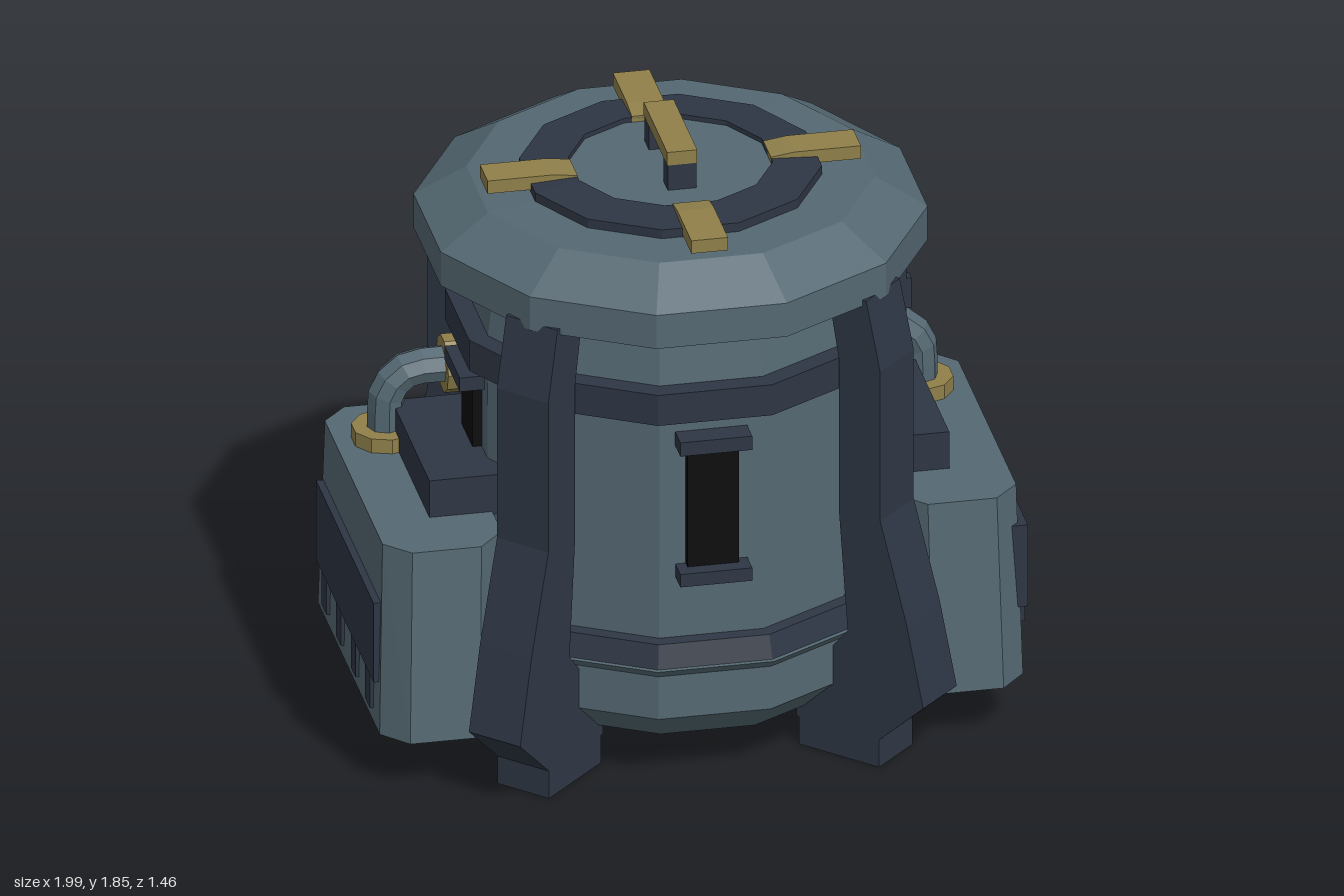
import * as THREE from 'three';

const mat = (name, color) => Object.assign(new THREE.MeshStandardMaterial({ color }), { name });

// faceted normals for every part
function flat(geo) {
  const g = geo.index ? geo.toNonIndexed() : geo;
  g.computeVertexNormals();
  return g;
}

export function createModel() {
  const teal = mat('slate teal', 0x546872);
  const dark = mat('dark blue grey', 0x2e3644);
  const gold = mat('dull brass', 0x8f7f4a);
  const black = mat('black', 0x0c0c0c);

  const model = new THREE.Group();
  model.name = 'canister';
  model.position.x = -0.02;

  function add(parent, name, geo, material, x = 0, y = 0, z = 0) {
    const m = new THREE.Mesh(flat(geo), material);
    m.name = name;
    m.position.set(x, y, z);
    parent.add(m);
    return m;
  }
  function group(name, angle = 0) {
    const g = new THREE.Group();
    g.name = name;
    g.rotation.y = angle;
    model.add(g);
    return g;
  }
  // box given by its limits
  function block(parent, name, material, x0, x1, y0, y1, z0, z1) {
    return add(parent, name, new THREE.BoxGeometry(Math.abs(x1 - x0), y1 - y0, z1 - z0),
      material, (x0 + x1) / 2, (y0 + y1) / 2, (z0 + z1) / 2);
  }
  // twelve-sided turned part; radii are measured to the flats
  function drum(name, material, profile) {
    const k = 1 / Math.cos(Math.PI / 12);
    const pts = profile.map(([r, y]) => new THREE.Vector2(r * k, y));
    add(model, name, new THREE.LatheGeometry(pts, 12, Math.PI / 12), material);
  }
  // side profile (x, y) given a thickness along z
  function slab(points, width) {
    const shape = new THREE.Shape(points.map(p => new THREE.Vector2(...p)));
    return new THREE.ExtrudeGeometry(shape, { depth: width, bevelEnabled: false })
      .translate(0, 0, -width / 2);
  }

  // body
  drum('base', teal, [[0, 0.13], [0.53, 0.13], [0.63, 0.23], [0.63, 0.37], [0.65, 0.395], [0.58, 0.41]]);
  drum('lowerBand', dark, [[0.58, 0.39], [0.64, 0.395], [0.62, 0.47], [0.57, 0.475]]);
  drum('barrel', teal, [[0.585, 0.4], [0.58, 1.3], [0.56, 1.47]]);
  drum('upperBand', dark, [[0.57, 1.2], [0.64, 1.2], [0.64, 1.3], [0.57, 1.3]]);

  // lid
  drum('lid', teal, [[0, 1.45], [0.61, 1.45], [0.73, 1.5], [0.73, 1.61], [0.58, 1.705], [0, 1.71]]);
  drum('lidRing', dark, [[0.43, 1.7], [0.43, 1.735], [0.29, 1.743], [0.29, 1.7]]);
  drum('lidDisc', teal, [[0.29, 1.7], [0.29, 1.728], [0, 1.728]]);

  // lid clips and handle
  for (let i = 0; i < 4; i++) {
    const clip = slab([[0.29, 1.715], [0.56, 1.715], [0.56, 1.757], [0.36, 1.757], [0.29, 1.747]], 0.11);
    add(group('lidClip', i * Math.PI / 2), 'clip', clip, gold);
  }
  const handle = group('handle');
  block(handle, 'handleBar', gold, -0.045, 0.045, 1.81, 1.853, -0.168, 0.168);
  for (const s of [-1, 1]) {
    const z = s * 0.135;
    block(handle, 'handlePost', dark, -0.043, 0.043, 1.72, 1.81, z - 0.032, z + 0.032);
  }

  // four bent legs on the diagonals
  const legProfile = [[0.5, 0.09], [0.79, 0.09], [0.945, 0.235], [0.885, 0.5], [0.794, 0.81],
    [0.794, 1.3], [0.745, 1.52], [0.61, 1.52], [0.65, 1.3], [0.65, 0.8], [0.68, 0.42], [0.5, 0.2]];
  for (let i = 0; i < 4; i++) {
    const leg = group('leg', Math.PI / 4 + i * Math.PI / 2);
    add(leg, 'strut', slab(legProfile, 0.18), dark);
    block(leg, 'foot', dark, 0.51, 0.79, 0, 0.1, -0.09, 0.09);
  }

  // tall slot windows on all four sides
  for (let i = 0; i < 4; i++) {
    const win = group('slotWindow', i * Math.PI / 2);
    block(win, 'slot', black, 0.56, 0.61, 0.7, 1.11, -0.077, 0.077);
    block(win, 'slotTop', dark, 0.56, 0.655, 1.1, 1.145, -0.108, 0.108);
    block(win, 'slotBottom', dark, 0.56, 0.655, 0.67, 0.712, -0.108, 0.108);
  }

  // display on the left side
  const display = group('display');
  block(display, 'displayCase', dark, 0.56, 0.675, 1.235, 1.4, -0.158, 0.158);
  block(display, 'displayScreen', black, 0.67, 0.683, 1.275, 1.347, -0.122, 0.122);
  for (const s of [-1, 1]) {
    block(display, 'displayRim', dark, 0.67, 0.69, 1.262, 1.36, s * 0.14 - 0.018, s * 0.14 + 0.018);
  }

  // side packs
  for (const s of [-1, 1]) {
    const pack = group(s > 0 ? 'leftPack' : 'rightPack');

    // chamfered case, slightly narrower at the top
    const half = [[0.6, 0.43], [0.68, 0.522], [0.89, 0.522], [0.965, 0.44]];
    const outline = [...half, ...half.map(([x, z]) => [x, -z]).reverse()];
    const shape = new THREE.Shape(outline.map(([x, z]) => new THREE.Vector2(s * x, z)));
    const shell = new THREE.ExtrudeGeometry(shape, { depth: 0.61, bevelEnabled: false })
      .rotateX(-Math.PI / 2).translate(0, 0.17, 0);
    const p = shell.attributes.position;
    for (let i = 0; i < p.count; i++) {
      if (p.getY(i) > 0.5) p.setXYZ(i, p.getX(i) * 0.985, p.getY(i), p.getZ(i) * 0.935);
    }
    add(pack, 'packCase', shell, teal);
    block(pack, 'packBracket', dark, s * 0.55, s * 0.78, 0.77, 0.9, -0.27, 0.27);

    // outer panel and the tabs below it
    block(pack, 'packPanel', dark, s * 0.93, s * 0.977, 0.327, 0.587, -0.41, 0.41);
    for (const z of [-0.31, -0.105, 0.105, 0.31]) {
      block(pack, 'packTab', dark, s * 0.93, s * 0.974, 0.21, 0.32, z - 0.034, z + 0.034);
    }

    // bent pipe with brass collars
    const v = (x, y) => new THREE.Vector3(s * x, y, -0.26);
    const path = new THREE.CurvePath();
    path.add(new THREE.LineCurve3(v(0.5, 1.01), v(0.7, 1.01)));
    path.add(new THREE.QuadraticBezierCurve3(v(0.7, 1.01), v(0.775, 1.005), v(0.8, 0.92)));
    path.add(new THREE.LineCurve3(v(0.8, 0.92), v(0.8, 0.78)));
    add(pack, 'pipe', new THREE.TubeGeometry(path, 10, 0.056, 8), teal);
    add(pack, 'lowerCollar', new THREE.CylinderGeometry(0.102, 0.102, 0.055, 10), gold, s * 0.8, 0.798, -0.26);
    add(pack, 'wallCollar', new THREE.CylinderGeometry(0.088, 0.088, 0.12, 10).rotateZ(Math.PI / 2),
      gold, s * 0.57, 1.01, -0.26);
  }

  // control panel on the left pack
  const controls = group('controls');
  block(controls, 'controlBacking', dark, 0.93, 0.98, 0.39, 0.657, -0.23, 0.44);
  block(controls, 'controlPlate', teal, 0.97, 0.988, 0.445, 0.597, -0.16, 0.375);
  block(controls, 'controlStrip', dark, 0.98, 0.997, 0.468, 0.568, -0.08, 0.295);
  for (const z of [-0.02, 0.105, 0.23]) {
    block(controls, 'button', black, 0.98, 1.017, 0.49, 0.54, z - 0.026, z + 0.026);
  }

  const root = new THREE.Group();
  root.name = 'model';
  root.add(model);
  return root;
}
